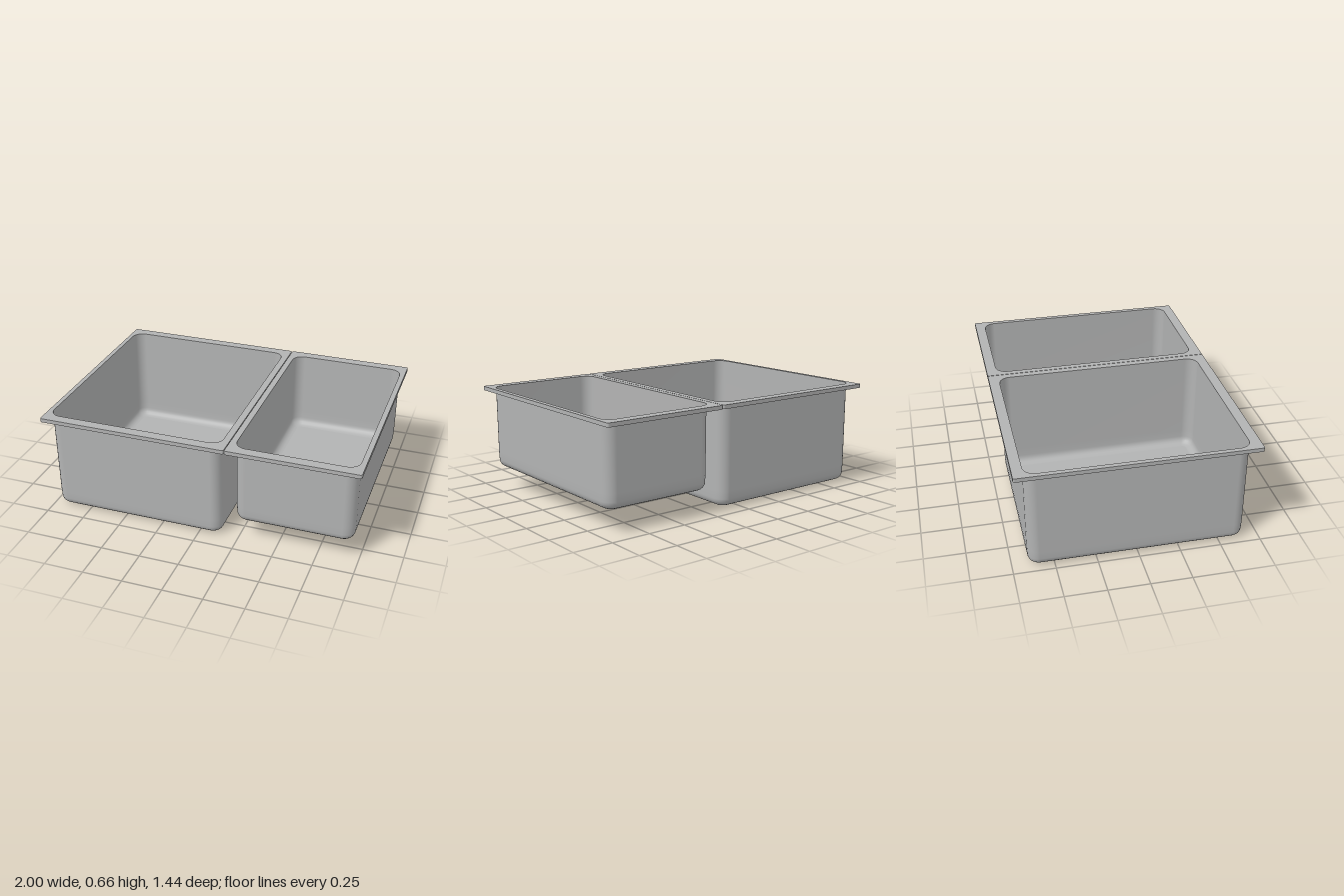
import * as THREE from 'three';

const TOP = 0.66, LIP = 0.635, CORNER_STEPS = 6;

// Rounded rectangle outline as [x, z] points
function outline(hw, hd, r) {
  const pts = [];
  [[1, 1], [-1, 1], [-1, -1], [1, -1]].forEach(([sx, sz], q) => {
    for (let i = 0; i <= CORNER_STEPS; i++) {
      const a = (q + i / CORNER_STEPS) * Math.PI / 2;
      pts.push([sx * (hw - r) + r * Math.cos(a), sz * (hd - r) + r * Math.sin(a)]);
    }
  });
  return pts;
}

// Skin between rings of { hw, hd, r, y }; shared vertices give smooth normals
function loft(rings) {
  const pos = [], index = [];
  const n = 4 * (CORNER_STEPS + 1);
  rings.forEach(({ hw, hd, r, y }) => outline(hw, hd, r).forEach(([x, z]) => pos.push(x, y, z)));
  for (let k = 0; k < rings.length - 1; k++) {
    for (let i = 0; i < n; i++) {
      const j = (i + 1) % n, a = k * n + i, b = k * n + j;
      index.push(a, a + n, b, b, a + n, b + n);
    }
  }
  const g = new THREE.BufferGeometry();
  g.setAttribute('position', new THREE.Float32BufferAttribute(pos, 3));
  g.setIndex(index);
  g.computeVertexNormals();
  return g;
}

function createBasin(name, material, { rim, bowl, floorY, drainX }) {
  const group = new THREE.Group();
  group.name = name;
  const add = (part, geometry, x, y = 0) => {
    const mesh = new THREE.Mesh(geometry, material);
    mesh.name = part;
    mesh.position.set(x, y, 0);
    group.add(mesh);
  };
  const rimX = (rim[0] + rim[1]) / 2, rimW = (rim[1] - rim[0]) / 2, rimD = 0.722;
  const bowlX = (bowl[0] + bowl[1]) / 2, bowlW = (bowl[1] - bowl[0]) / 2, bowlD = 0.658;
  const toVec = (dx) => ([x, z]) => new THREE.Vector2(x + dx, -z);

  // Turned-down lip around the flange
  add('rimLip', loft([
    { hw: rimW, hd: rimD, r: 0.012, y: LIP },
    { hw: rimW, hd: rimD, r: 0.012, y: TOP },
  ]), rimX);

  // Flat flange with the bowl opening
  const flange = new THREE.Shape(outline(rimW, rimD, 0.012).map(toVec(rimX)));
  flange.holes.push(new THREE.Path(outline(bowlW, bowlD, 0.07).map(toVec(bowlX))));
  add('rimFlange', new THREE.ShapeGeometry(flange).rotateX(-Math.PI / 2), 0, TOP);

  // Walls with a slight draft, rounding into the floor
  const ring = (inset, y) => ({ hw: bowlW - inset, hd: bowlD - inset, r: 0.07 - inset * 0.8, y });
  const rings = [ring(0, TOP), ring(0.002, floorY + 0.1)];
  for (let i = 0; i <= 5; i++) {
    const a = i / 5 * Math.PI / 2;
    rings.push(ring(0.004 + 0.05 * (1 - Math.cos(a)), floorY + 0.05 * (1 - Math.sin(a))));
  }
  add('bowlWalls', loft(rings), bowlX);

  // Floor with the drain opening
  const edge = rings[rings.length - 1];
  const floor = new THREE.Shape(outline(edge.hw, edge.hd, edge.r).map(toVec(bowlX)));
  const hole = new THREE.Path();
  hole.absarc(drainX, 0, 0.14, 0, Math.PI * 2, true);
  floor.holes.push(hole);
  add('bowlFloor', new THREE.ShapeGeometry(floor, 24).rotateX(-Math.PI / 2), 0, floorY);

  // Shallow drain recess: sloped ring and flat disc
  const slope = [[0.122, -0.005], [0.14, 0]].map(([x, y]) => new THREE.Vector2(x, y));
  add('drainRing', new THREE.LatheGeometry(slope, 48), drainX, floorY);
  add('drainDisc', new THREE.CircleGeometry(0.122, 48).rotateX(-Math.PI / 2), drainX, floorY - 0.005);
  return group;
}

export function createModel() {
  const steel = new THREE.MeshStandardMaterial({ color: 0xb2b3b3, side: THREE.DoubleSide });
  steel.name = 'brushed steel';
  const sink = new THREE.Group();
  sink.name = 'doubleSink';
  sink.add(
    createBasin('largeBasin', steel, { rim: [-1, 0.187], bowl: [-0.971, 0.145], floorY: 0.005, drainX: -0.413 }),
    createBasin('smallBasin', steel, { rim: [0.191, 1], bowl: [0.229, 0.968], floorY: 0.138, drainX: 0.598 }),
  );
  return sink;
}
